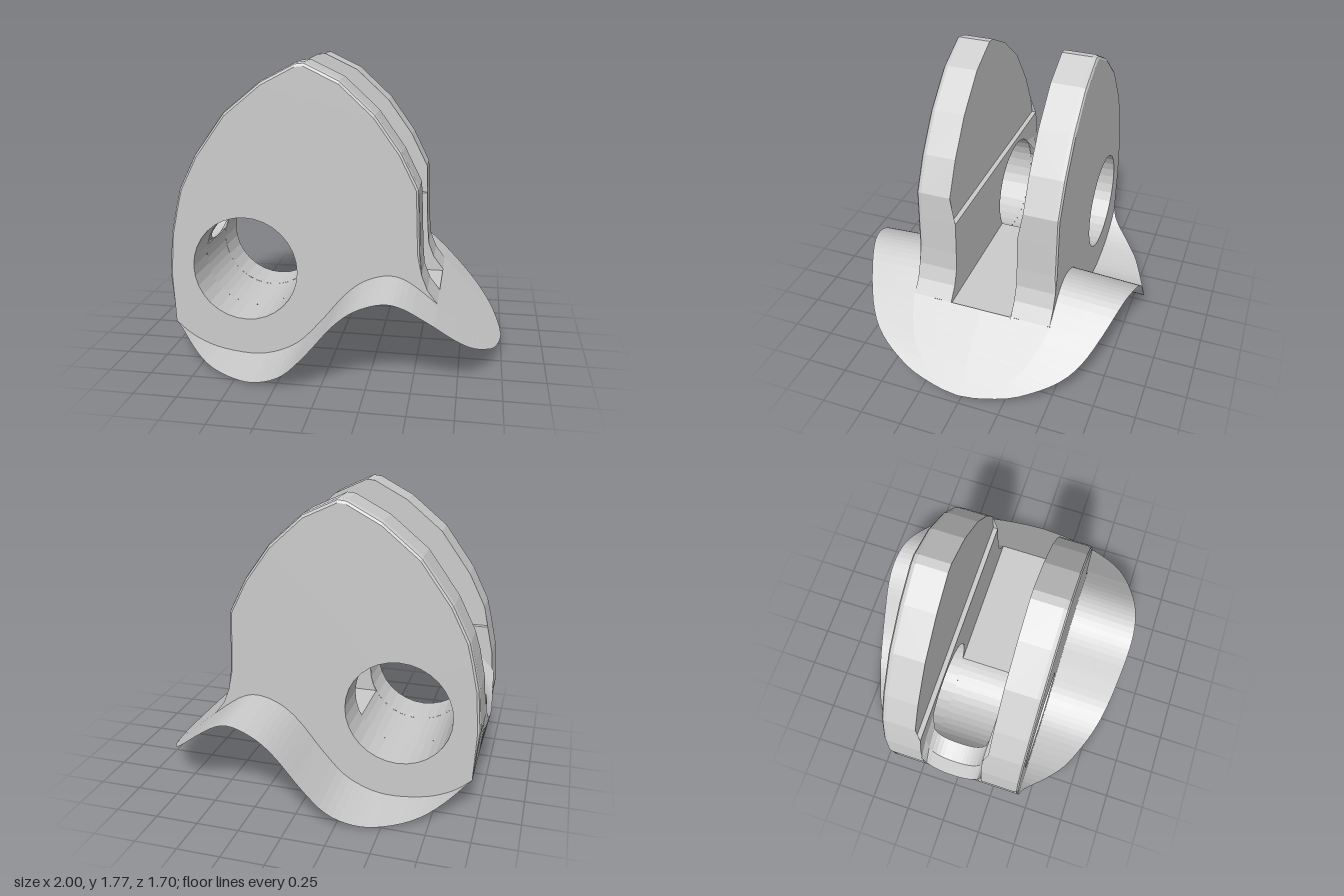
import * as THREE from 'three';

const mat = new THREE.MeshStandardMaterial({ color: 0xcccccc, flatShading: true, side: THREE.DoubleSide });
const V = (x, y, z) => new THREE.Vector3(x, y, z);
const P = (list) => list.map(([x, y]) => new THREE.Vector2(x, y));

const OUTER = 0.43, INNER = 0.22, SLOT = 0.19, LEDGE = 0.91, FLOOR = 0.4;
const HOLE = { x: -0.515, y: 0.555, r: 0.315 };

// Cheek outline from the back heel, over the peak, down to the apron
const outline = P([
  [-0.955, 0.2], [-0.985, 0.5], [-0.965, 0.75], [-0.93, 0.91], [-0.9, 1.03], [-0.8, 1.23], [-0.62, 1.48],
  [-0.4, 1.66], [-0.2, 1.765], [-0.15, 1.77], [0.05, 1.675], [0.25, 1.49], [0.4, 1.28], [0.5, 1.08],
  [0.507, 0.91], [0.515, 0.7], [0.525, 0.58], [0.56, 0.49], [0.62, 0.41],
]);
const inset = outline.map((p, i) => (i === 0 || i > 15
  ? p.clone() : new THREE.Vector2(-0.2 + (p.x + 0.2) * 0.978, 0.6 + (p.y - 0.6) * 0.98)));

// Waved base line and oval footprint
const wave = new THREE.SplineCurve(P([
  [-0.955, 0.2], [-0.85, 0.115], [-0.7, 0.05], [-0.5, 0.022], [-0.35, 0.042], [-0.2, 0.115], [-0.06, 0.26],
  [0.08, 0.43], [0.2, 0.525], [0.34, 0.565], [0.46, 0.53], [0.62, 0.41],
])).getPoints(44);
const footprint = new THREE.SplineCurve(P([
  [-0.96, 0.435], [-0.9, 0.46], [-0.75, 0.6], [-0.6, 0.7], [-0.3, 0.81], [0, 0.848], [0.3, 0.835],
  [0.6, 0.735], [0.8, 0.6], [0.93, 0.37], [0.985, 0.15], [1, 0],
])).getPoints(120);
function halfWidth(x) {
  const i = footprint.findIndex((p) => p.x >= x);
  if (i < 1) return i === 0 ? footprint[0].y : 0;
  const a = footprint[i - 1], b = footprint[i];
  return a.y + (b.y - a.y) * (x - a.x) / (b.x - a.x || 1);
}

// Surface through rows of points
function loft(rows) {
  const n = rows[0].length, index = [];
  for (let i = 0; i < rows.length - 1; i++) {
    for (let j = 0; j < n - 1; j++) {
      const a = i * n + j, b = a + n;
      index.push(a, b, a + 1, b, b + 1, a + 1);
    }
  }
  const g = new THREE.BufferGeometry().setFromPoints(rows.flat());
  g.setIndex(index);
  g.computeVertexNormals();
  return g;
}

function add(group, name, geometry) {
  const m = new THREE.Mesh(geometry, mat);
  m.name = name;
  group.add(m);
  return m;
}

// Part of the pin bore between two angles and two depths
function bore(a0, a1, z0, z1, steps) {
  const rows = [];
  for (let i = 0; i <= steps; i++) {
    const a = a0 + (a1 - a0) * i / steps;
    const x = HOLE.x + HOLE.r * Math.cos(a), y = HOLE.y + HOLE.r * Math.sin(a);
    rows.push([V(x, y, z0), V(x, y, z1)]);
  }
  return loft(rows);
}

const slotAngle = Math.asin((FLOOR - HOLE.y) / HOLE.r);
const mouthAngle = Math.PI - Math.asin((0.62 - HOLE.y) / HOLE.r);

function createSide(name) {
  const side = new THREE.Group();
  side.name = name;

  // Outer face with the pin hole, closed below by the wave
  const face = new THREE.Shape([...inset, ...wave.slice(1, -1).reverse()]);
  face.holes.push(new THREE.Path().absarc(HOLE.x, HOLE.y, HOLE.r, 0, Math.PI * 2, true));
  add(side, 'outerFace', new THREE.ShapeGeometry(face, 16)).position.z = OUTER;

  // Edge strip with a small bevel towards the outer face
  add(side, 'cheekEdge', loft(outline.map((p, i) => [
    V(inset[i].x, inset[i].y, OUTER),
    V((p.x * 2 + inset[i].x) / 3, (p.y * 2 + inset[i].y) / 3, OUTER - 0.009),
    V(p.x, p.y, OUTER - 0.03),
    V(p.x, p.y, p.y > LEDGE ? INNER : SLOT),
  ])));

  // Inner faces: wide above the ledge, narrower along the slot
  const upper = new THREE.Shape(outline.filter((p) => p.y >= LEDGE));
  add(side, 'upperInnerFace', new THREE.ShapeGeometry(upper)).position.z = INNER;
  const lower = new THREE.Shape(P([[0.63, FLOOR], [0.56, 0.49], [0.525, 0.58], [0.515, 0.7], [0.507, LEDGE],
    [-0.93, LEDGE], [-0.965, 0.75], [-0.985, 0.5]]));
  lower.lineTo(HOLE.x + HOLE.r * Math.cos(mouthAngle), 0.62);
  lower.absarc(HOLE.x, HOLE.y, HOLE.r, mouthAngle, slotAngle, true);
  add(side, 'slotWall', new THREE.ShapeGeometry(lower, 24)).position.z = SLOT;
  add(side, 'slotLedge', loft([
    [V(-0.93, LEDGE, SLOT), V(-0.93, LEDGE, INNER)], [V(0.507, LEDGE, SLOT), V(0.507, LEDGE, INNER)],
  ]));

  add(side, 'pinBore', bore(0, Math.PI * 2, SLOT, OUTER, 32));

  // Waved wing, drooping slightly outwards
  add(side, 'wing', loft(wave.map((p) => {
    const w = Math.max(halfWidth(p.x), OUTER + 0.003);
    return [0, 0.5, 1].map((t) => {
      const z = OUTER + (w - OUTER) * t;
      return V(p.x, p.y - 0.055 * (z - OUTER), z);
    });
  })));
  return side;
}

export function createModel() {
  const model = new THREE.Group();
  model.name = 'lugBracket';

  const left = createSide('frontCheek');
  const right = createSide('rearCheek');
  right.scale.z = -1;
  model.add(left, right);

  // Sloping apron joining both wings
  const apron = [];
  for (let i = 0; i <= 16; i++) {
    const x = 0.62 + 0.38 * Math.sin((i / 16) * Math.PI / 2);
    const w = halfWidth(x), y = 0.41 - (x - 0.62) * 0.9;
    apron.push([-1, -0.6, 0, 0.6, 1].map((t) =>
      V(x, y - 0.055 * Math.max(0, Math.abs(t * w) - OUTER), t * w)));
  }
  add(model, 'apron', loft(apron));

  // Slot floor running into the bore
  add(model, 'slotFloor', loft([-0.241, 0.63].map((x) => [V(x, FLOOR, -SLOT), V(x, FLOOR, SLOT)])));

  // Lower part of the bore between the cheeks
  add(model, 'boreTrough', bore(mouthAngle, Math.PI * 2 + slotAngle, -SLOT, SLOT, 20));

  // Flared mouth from the bore to the back end, with the wall below it
  const mouth = [], wall = [];
  for (let i = 0; i <= 16; i++) {
    const t = i / 8 - 1, z = SLOT * t;
    const lift = 1 - Math.sqrt(1 - Math.min(1, Math.abs(t)) ** 2.6);
    const y = 0.62 + 0.16 * lift;
    const x = HOLE.x - Math.sqrt(HOLE.r ** 2 - (y - HOLE.y) ** 2);
    const rim = V(-1 + 0.015 * t * t, 0.43 + 0.2 * lift, z);
    mouth.push([V(x, y, z), V((x + rim.x) / 2 - 0.02, (y + rim.y) / 2 + 0.03, z), rim]);
    wall.push([rim, V(-0.955, 0.2, z)]);
  }
  add(model, 'flaredMouth', loft(mouth));
  add(model, 'backWall', loft(wall));

  return model;
}
